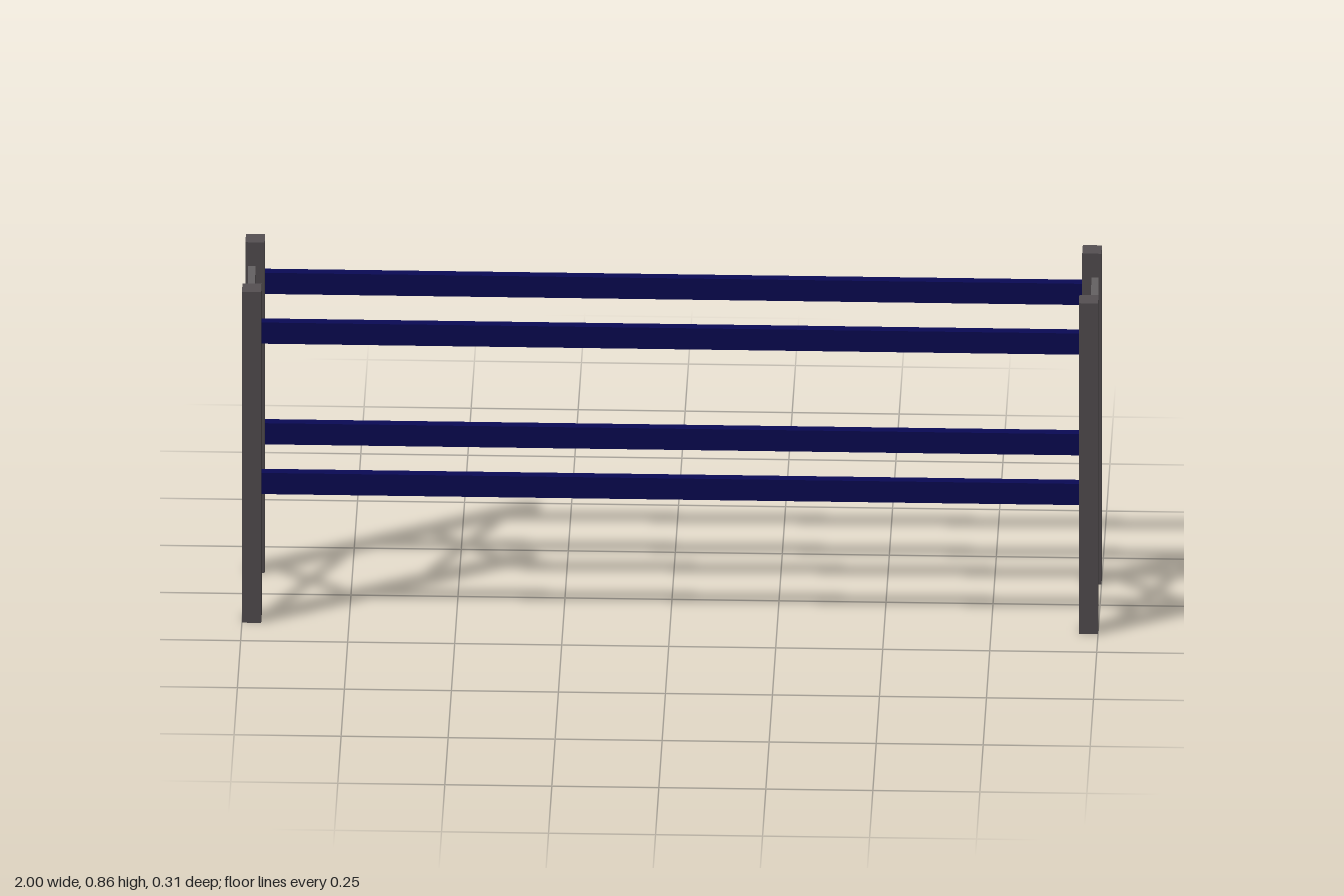
import * as THREE from 'three';

export function createModel() {
  const model = new THREE.Group();
  const steel = new THREE.MeshStandardMaterial({ color: 0x555052 });
  steel.name = 'dark grey steel';
  const blue = new THREE.MeshStandardMaterial({ color: 0x0a0a55 });
  blue.name = 'navy blue paint';

  const postSize = 0.045, height = 0.86;
  const postX = 1 - postSize / 2, postZ = 0.132;

  function box(name, size, position, material, parent) {
    const mesh = new THREE.Mesh(new THREE.BoxGeometry(...size), material);
    mesh.name = name;
    mesh.position.set(...position);
    parent.add(mesh);
    return mesh;
  }

  // End frames: two posts joined by two crossed pairs of braces
  for (const side of [-1, 1]) {
    const frame = new THREE.Group();
    frame.name = side > 0 ? 'leftFrame' : 'rightFrame';
    for (const z of [-postZ, postZ]) {
      box(z > 0 ? 'frontPost' : 'backPost', [postSize, height, postSize],
        [side * postX, height / 2, z], steel, frame);
    }
    for (const y of [0.19, 0.675]) {
      for (const tilt of [-1, 1]) {
        const brace = box('crossBrace', [0.017, 0.02, 0.335],
          [side * 0.985, y, 0], steel, frame);
        brace.rotation.x = tilt * Math.PI / 4;
      }
    }
    model.add(frame);
  }

  // Long beams between the frames, front and back at two levels
  for (const y of [0.357, 0.748]) {
    for (const z of [-postZ, postZ]) {
      box(z > 0 ? 'frontBeam' : 'backBeam', [2 * (1 - postSize), 0.055, 0.022],
        [0, y, z], blue, model);
    }
  }
  return model;
}
